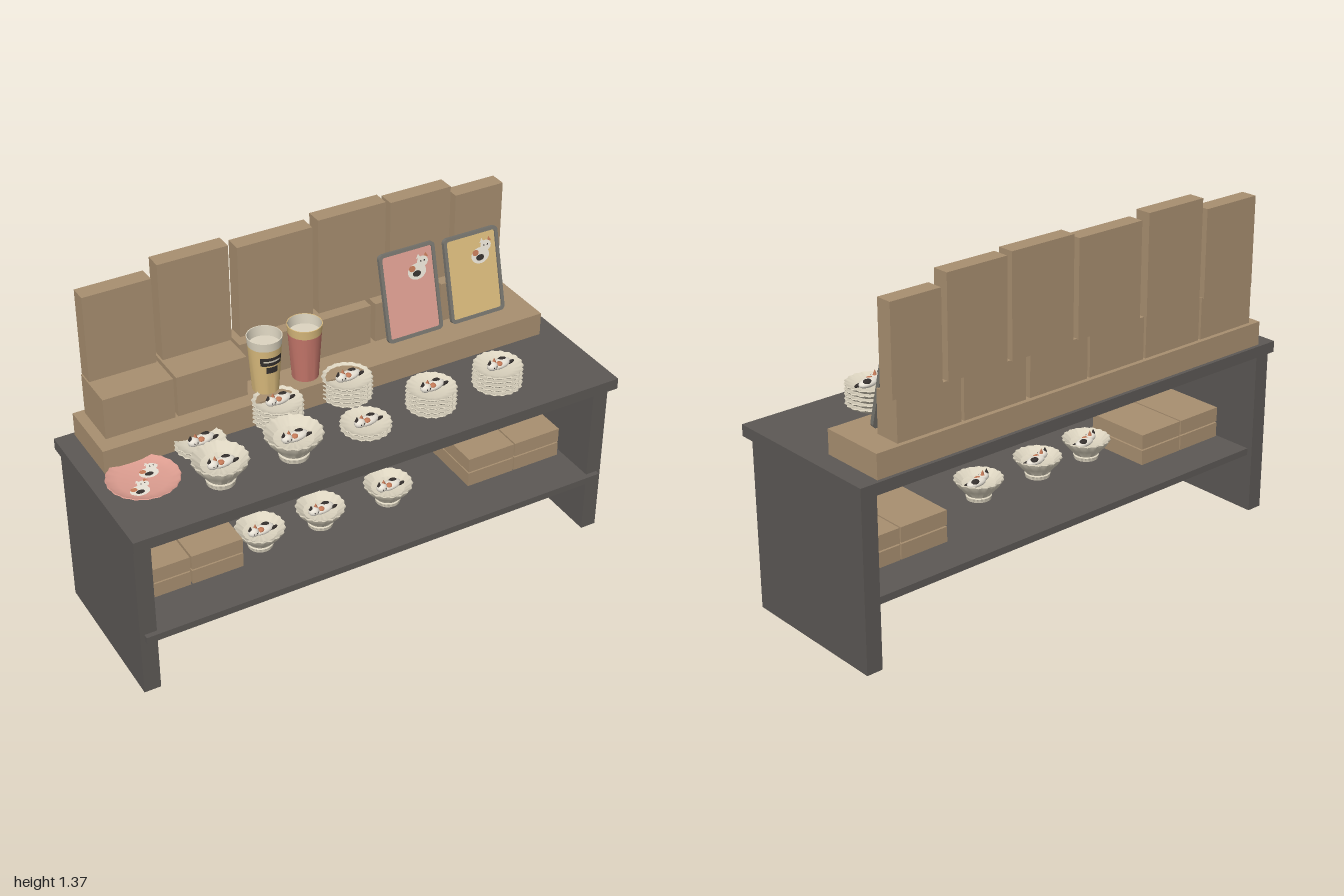
import * as THREE from 'three';
import { toCreasedNormals } from 'three/addons/utils/BufferGeometryUtils.js';

const mat = (name, color, side = THREE.FrontSide) => {
  const m = new THREE.MeshStandardMaterial({ color, side });
  m.name = name;
  return m;
};

export function createModel() {
  const root = new THREE.Group();
  root.name = 'displayTable';
  const card = mat('cardboard', 0xa88f70), charcoal = mat('charcoal', 0x5c5855);
  const cream = mat('cream', 0xdcd4c0), pink = mat('pink', 0xdc9d90);
  const yellow = mat('yellow', 0xd9ba7c), coral = mat('coral', 0xc4766a);
  const black = mat('black', 0x35302e), white = mat('white', 0xece6da);
  const metal = mat('metal', 0x77756e), orange = mat('orange', 0xc47a58);

  const add = (parent, name, geo, m, x = 0, y = 0, z = 0) => {
    const mesh = new THREE.Mesh(geo, m);
    mesh.name = name;
    mesh.position.set(x, y, z);
    parent.add(mesh);
    return mesh;
  };
  // box given by its limits on each axis
  const box = (name, m, x0, x1, y0, y1, z0, z1) =>
    add(root, name, new THREE.BoxGeometry(x1 - x0, y1 - y0, z1 - z0), m,
      (x0 + x1) / 2, (y0 + y1) / 2, (z0 + z1) / 2);
  const group = (name, x, y, z, parent = root) => {
    const g = new THREE.Group();
    g.name = name;
    g.position.set(x, y, z);
    parent.add(g);
    return g;
  };

  // table
  box('tableTop', charcoal, -1, 1, 0.67, 0.715, -0.345, 0.345);
  box('rightLegPanel', charcoal, -0.987, -0.922, 0, 0.67, -0.327, 0.305);
  box('leftLegPanel', charcoal, 0.922, 0.987, 0, 0.67, -0.327, 0.305);
  box('lowerShelf', charcoal, -0.97, 0.97, 0.238, 0.266, -0.305, 0.325);

  // long riser and the two tiers of boxes on it
  box('riser', card, -0.925, 0.92, 0.715, 0.81, -0.33, -0.06);
  [[-0.885, -0.615, -0.125], [-0.603, -0.325, -0.125], [-0.313, -0.045, -0.205],
    [-0.033, 0.238, -0.205], [0.258, 0.535, -0.205], [0.548, 0.82, -0.205]]
    .forEach(([x0, x1, z1]) => box('lowBox', card, x0, x1, 0.81, 0.975, -0.312, z1));
  [[-0.88, -0.62, 1.32], [-0.595, -0.32, 1.367], [-0.285, 0.018, 1.347],
    [0.042, 0.325, 1.367], [0.346, 0.606, 1.357], [0.63, 0.84, 1.312]]
    .forEach(([x0, x1, y1]) => box('tallBox', card, x0, x1, 0.972, y1, -0.318, -0.252));

  // flat boxes on the shelf
  for (const x of [-0.915, -0.702, 0.48, 0.692])
    for (const y of [0.266, 0.332]) box('shelfBox', card, x, x + 0.206, y, y + 0.06, -0.14, 0.14);

  // scalloped dishes: a lathe whose rim is rippled
  const dish = (profile, rim, lobes = 18, ripple = 0.035) => {
    const g = new THREE.LatheGeometry(profile.map(([r, y]) => new THREE.Vector2(r, y)), lobes * 4);
    const p = g.attributes.position;
    for (let i = 0; i < p.count; i++) {
      const x = p.getX(i), z = p.getZ(i), r = Math.hypot(x, z);
      const k = 1 + ripple * Math.pow(r / rim, 4) * Math.cos(lobes * Math.atan2(x, z));
      p.setX(i, x * k);
      p.setZ(i, z * k);
    }
    g.computeVertexNormals();
    return toCreasedNormals(g, 0.6);
  };
  const bowlGeo = dish([[0, 0], [0.052, 0], [0.055, 0.016], [0.05, 0.02], [0.08, 0.055],
    [0.095, 0.074], [0.102, 0.088], [0.1, 0.093], [0.09, 0.085], [0.07, 0.068], [0, 0.062]], 0.102);
  const plateGeo = dish([[0, 0], [0.055, 0], [0.06, 0.004], [0.085, 0.016],
    [0.094, 0.024], [0.092, 0.028], [0.078, 0.02], [0.058, 0.014], [0, 0.013]], 0.094);
  const flatGeo = dish([[0, 0], [0.085, 0], [0.12, 0.01], [0.133, 0.018], [0.131, 0.021],
    [0.115, 0.013], [0.09, 0.008], [0, 0.008]], 0.133, 20, 0.015);

  // little lying cat
  const ball = new THREE.SphereGeometry(1, 14, 10);
  const ear = new THREE.ConeGeometry(0.009, 0.02, 6);
  const blob = (parent, name, m, x, y, z, sx, sy, sz) =>
    add(parent, name, ball, m, x, y, z).scale.set(sx, sy, sz);
  const cat = (parent, y, turn) => {
    const c = group('cat', 0, y, 0, parent);
    c.rotation.y = turn;
    blob(c, 'body', white, 0.012, 0.008, 0, 0.048, 0.016, 0.025);
    blob(c, 'head', white, -0.033, 0.017, 0.004, 0.022, 0.017, 0.019);
    blob(c, 'backPatch', black, 0.026, 0.015, -0.006, 0.021, 0.011, 0.015);
    blob(c, 'sidePatch', orange, -0.002, 0.016, 0.008, 0.015, 0.009, 0.013);
    blob(c, 'tail', black, 0.05, 0.006, 0.014, 0.021, 0.007, 0.007);
    add(c, 'ear', ear, black, -0.044, 0.037, 0);
    add(c, 'ear', ear, orange, -0.022, 0.037, 0);
    for (const x of [-0.041, -0.027]) blob(c, 'eye', black, x, 0.02, 0.022, 0.002, 0.003, 0.002);
  };
  const bowl = (x, y, z, s = 1, h = 1, turn = 0.15) => {
    const g = group('bowl', x, y, z);
    add(g, 'bowlShell', bowlGeo, cream).scale.set(s, h, s);
    cat(g, 0.064 * h, turn);
  };
  const stack = (x, z, n, turn = 0.2) => {
    const g = group('plateStack', x, 0.715, z);
    for (let i = 0; i < n; i++) add(g, 'plate', plateGeo, cream, 0, i * 0.0185, 0);
    cat(g, n * 0.0185, turn);
  };
  bowl(-0.59, 0.715, 0.18, 1, 1.12);
  bowl(-0.295, 0.715, 0.17, 1.05, 1.12);
  for (const x of [-0.385, -0.13, 0.165]) bowl(x, 0.266, 0.06, 0.92, 0.92);
  stack(0, 0.17, 2);
  stack(0.28, 0.165, 5);
  stack(0.57, 0.165, 5);
  stack(-0.57, -0.02, 2);
  stack(-0.25, -0.035, 5);
  stack(0.045, -0.045, 5);

  // flat painted cat, built in the xy plane
  const disc = new THREE.CircleGeometry(1, 20);
  const paintedCat = (parent, x, y, z, s = 1) => {
    const g = group('paintedCat', x, y, z, parent);
    g.scale.set(s, s, 1);
    const spot = (name, m, px, py, rx, ry, layer) =>
      add(g, name, disc, m, px, py, layer * 0.0008).scale.set(rx, ry, 1);
    spot('body', white, -0.008, -0.012, 0.04, 0.032, 1);
    spot('head', white, 0.02, 0.022, 0.024, 0.021, 1);
    const tri = new THREE.CircleGeometry(0.012, 3, Math.PI / 2);
    add(g, 'ear', tri, white, 0.004, 0.042, 0.0008);
    add(g, 'ear', tri, orange, 0.036, 0.042, 0.0008);
    spot('darkPatch', black, -0.01, -0.02, 0.018, 0.012, 2);
    spot('orangePatch', orange, -0.028, 0.002, 0.014, 0.012, 2);
    for (const ex of [0.012, 0.028]) spot('eye', black, ex, 0.024, 0.003, 0.003, 2);
  };

  // pink plate with two painted cats
  const pinkPlate = group('pinkPlate', -0.825, 0.715, 0.045);
  add(pinkPlate, 'plateDisc', flatGeo, pink);
  const art = group('plateArt', 0, 0.0085, 0, pinkPlate);
  art.rotation.x = -Math.PI / 2;
  paintedCat(art, 0.04, 0.035, 0, 0.9);
  paintedCat(art, -0.03, -0.045, 0, 0.9);

  // tumblers with a band at the rim and a cream inside
  const tumbler = (x, body, band, label) => {
    const g = group('tumbler', x, 0.81, -0.138);
    const lathe = (name, m, pts) =>
      add(g, name, toCreasedNormals(new THREE.LatheGeometry(pts.map(p => new THREE.Vector2(...p)), 32), 0.6), m);
    lathe('cupBody', body, [[0, 0], [0.05, 0], [0.0632, 0.19]]);
    lathe('cupBand', band, [[0.0632, 0.19], [0.0665, 0.225], [0.063, 0.225]]);
    lathe('cupInside', cream, [[0.063, 0.225], [0.06, 0.185], [0, 0.185]]);
    if (label) {
      const patch = (name, m, r, h, y, arc) => add(g, name,
        new THREE.CylinderGeometry(r + h * 0.035, r - h * 0.035, h, 12, 1, true, -arc / 2, arc), m, 0, y, 0);
      patch('labelPlate', black, 0.0615, 0.035, 0.145, 1.5);
      patch('labelPlate', black, 0.059, 0.026, 0.108, 0.8);
      patch('labelStripe', cream, 0.0624, 0.007, 0.146, 1.1);
    }
  };
  tumbler(-0.245, yellow, cream, true);
  tumbler(-0.08, coral, yellow, false);

  // leaning trays with a raised metal rim
  const roundRect = (T, w, h, r) => {
    const s = new T(), a = w / 2 - r, b = h / 2 - r;
    s.absarc(a, b, r, 0, Math.PI / 2);
    s.absarc(-a, b, r, Math.PI / 2, Math.PI);
    s.absarc(-a, -b, r, Math.PI, Math.PI * 1.5);
    s.absarc(a, -b, r, Math.PI * 1.5, Math.PI * 2);
    s.closePath();
    return s;
  };
  const tray = (x, h, m) => {
    const w = 0.242, g = group('tray', x, 0.812, -0.163);
    g.rotation.x = -0.25;
    const rim = roundRect(THREE.Shape, w, h, 0.018);
    rim.holes.push(roundRect(THREE.Path, w - 0.026, h - 0.026, 0.01));
    add(g, 'trayRim', new THREE.ExtrudeGeometry(rim, { depth: 0.016, bevelEnabled: false, curveSegments: 6 }),
      metal, 0, h / 2, -0.004);
    add(g, 'trayBack', new THREE.BoxGeometry(w - 0.02, h - 0.02, 0.005), metal, 0, h / 2, -0.001);
    add(g, 'trayPanel', new THREE.BoxGeometry(w - 0.026, h - 0.026, 0.004), m, 0, h / 2, 0.003);
    paintedCat(g, 0.045, h - 0.09, 0.0052);
  };
  tray(0.41, 0.352, pink);
  tray(0.692, 0.342, yellow);

  return root;
}
